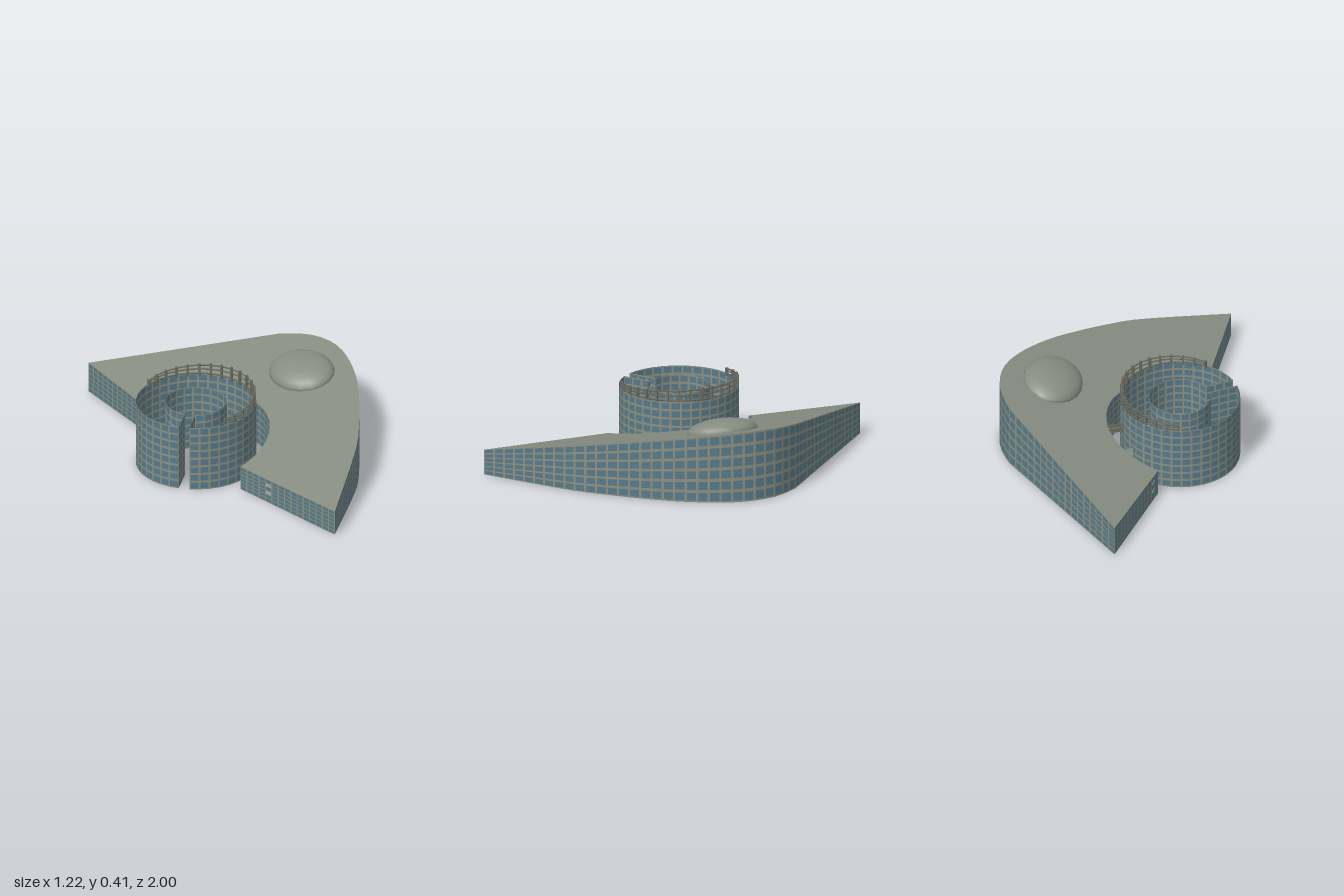
import * as THREE from 'three';

const mat = (name, color) => Object.assign(new THREE.MeshStandardMaterial({ color, side: THREE.DoubleSide }), { name });
const glass = mat('blue glass', 0x56798a);
const frame = mat('stone frame', 0x8b8f7f);
const roofGrey = mat('roof grey', 0x868d80);
const railGrey = mat('rail grey', 0x6c6e63);

// Ring centre on plan, and the slope of the wedge roof
const CX = -0.31, CZ = -0.06;
const roofHeight = (x) => 0.211 + 0.253 * x;
const ringTop = 0.345;

const polar = (r, a) => new THREE.Vector2(CX + r * Math.cos(a), CZ + r * Math.sin(a));
function arc(r, a0, a1, n) {
  return Array.from({ length: n + 1 }, (_, i) => polar(r, a0 + ((a1 - a0) * i) / n));
}

function meshFrom(name, positions, material) {
  const g = new THREE.BufferGeometry();
  g.setAttribute('position', new THREE.Float32BufferAttribute(positions, 3));
  g.computeVertexNormals();
  const m = new THREE.Mesh(g, material);
  m.name = name;
  return m;
}

// Upright wall along a plan path, cut into framed panes; rows shrink with the height.
// isOpen(t, row) leaves a pane out, t being the position along each segment.
function windowWall(name, path, height, rows, spacing, isOpen = () => false) {
  const panes = [], bars = [];
  const us = [0, 0.1, 0.9, 1], vs = [0, 0.14, 0.86, 1];
  for (let s = 0; s < path.length - 1; s++) {
    const a = path[s], b = path[s + 1];
    const cols = Math.max(1, Math.round(a.distanceTo(b) / spacing));
    const point = (t, v) => {
      const p = a.clone().lerp(b, t);
      return [p.x, height(p.x) * v, p.y];
    };
    for (let c = 0; c < cols; c++) for (let r = 0; r < rows; r++) {
      for (let i = 0; i < 3; i++) for (let j = 0; j < 3; j++) {
        const middle = i === 1 && j === 1;
        if (middle && isOpen((c + 0.5) / cols, r, cols)) continue;
        const t0 = (c + us[i]) / cols, t1 = (c + us[i + 1]) / cols;
        const v0 = (r + vs[j]) / rows, v1 = (r + vs[j + 1]) / rows;
        const A = point(t0, v0), B = point(t1, v0), C = point(t1, v1), D = point(t0, v1);
        (middle ? panes : bars).push(...A, ...B, ...C, ...A, ...C, ...D);
      }
    }
  }
  const g = new THREE.Group();
  g.name = name;
  g.add(meshFrom(name + 'Panes', panes, glass), meshFrom(name + 'Frames', bars, frame));
  return g;
}

function createWedge() {
  const wedge = new THREE.Group();
  wedge.name = 'wedgeBuilding';
  const V = (x, z) => new THREE.Vector2(x, z);
  const frontTip = V(-0.32, 1), backTip = V(-0.197, -1);
  const frontCorner = V(-0.34, 0.31), backCorner = V(-0.285, -0.43);

  // Long curved side, running from the front tip round the nose
  const curved = new THREE.SplineCurve([
    frontTip, V(0.05, 0.73), V(0.2, 0.595), V(0.4, 0.37), V(0.51, 0.21), V(0.58, 0.06),
    V(0.605, -0.06), V(0.595, -0.17), V(0.56, -0.26), V(0.5, -0.35),
  ]).getSpacedPoints(30);
  // Round courtyard cut
  const a0 = Math.atan2(backCorner.y - CZ, backCorner.x - CX);
  const a1 = Math.atan2(frontCorner.y - CZ, frontCorner.x - CX);
  const court = arc(0.37, a0, a1, 24);

  const opening = (at) => (t, row, cols) => Math.abs(t - at) < 0.5 / cols && (row === 2 || row === 4);
  wedge.add(
    windowWall('curvedWall', [...curved, backTip], roofHeight, 6, 0.055),
    windowWall('backEndWall', [backTip, court[0]], roofHeight, 6, 0.045, opening(0.88)),
    windowWall('courtyardWall', court, roofHeight, 6, 0.055),
    windowWall('frontEndWall', [court[24], frontTip], roofHeight, 6, 0.045, opening(0.32)),
  );

  // Sloping roof, with a small pointed spur over the courtyard
  const spur = [V(-0.145, -0.392), V(-0.13, -0.32), V(-0.095, -0.361)];
  const rim = court.filter((p) => p.y > -0.361 || p.x < -0.145);
  const cut = rim.findIndex((p) => p.x > -0.145);
  const outline = [...curved, backTip, ...rim.slice(0, cut), ...spur, ...rim.slice(cut)];
  const geo = new THREE.ShapeGeometry(new THREE.Shape(outline.map((p) => V(p.x, -p.y))));
  geo.rotateX(-Math.PI / 2);
  const pos = geo.attributes.position;
  for (let i = 0; i < pos.count; i++) pos.setY(i, roofHeight(pos.getX(i)));
  geo.computeVertexNormals();
  const roof = new THREE.Mesh(geo, roofGrey);
  roof.name = 'slopingRoof';
  wedge.add(roof);

  // Oval dome lying on the slope
  const dome = new THREE.Mesh(new THREE.SphereGeometry(1, 18, 6, 0, Math.PI * 2, 0, Math.PI / 2), roofGrey);
  dome.name = 'roofDome';
  dome.scale.set(0.152, 0.066, 0.185);
  dome.rotation.z = Math.atan(0.253);
  dome.position.set(0.357, roofHeight(0.357), -0.012);
  wedge.add(dome);
  return wedge;
}

// Open ring: outer and inner walls joined by two radial walls beside a narrow gap
function createRing() {
  const gap = Math.atan2(0.6, -0.8), full = Math.PI * 2;
  const outer = arc(0.302, gap + 0.09, gap + full - 0.09, 36);
  const inner = arc(0.155, gap + full - 0.17, gap + 0.17, 20);
  return windowWall('ringBuilding', [...outer, ...inner, outer[0]], () => ringTop, 8, 0.05);
}

// Railing over the half of the ring that faces the wedge, rising towards it
function createRailing() {
  const g = new THREE.Group();
  g.name = 'railing';
  const reach = Math.PI / 2 + 0.21, count = 18;
  const topAt = (x) => 0.376 + 0.108 * (x + 0.37);
  const spots = arc(0.294, -reach, reach, count);
  spots.forEach((p, i) => {
    const h = topAt(p.x) - ringTop + 0.01;
    const post = new THREE.Mesh(new THREE.BoxGeometry(0.014, h, 0.01), railGrey);
    post.name = 'railPost';
    post.position.set(p.x, ringTop - 0.01 + h / 2, p.y);
    post.rotation.y = reach - (2 * reach * i) / count;
    g.add(post);
  });
  for (const f of [0.1, 0.5, 0.85]) {
    const curve = new THREE.CatmullRomCurve3(
      spots.map((p) => new THREE.Vector3(p.x, ringTop + f * (topAt(p.x) - ringTop), p.y)));
    const rail = new THREE.Mesh(new THREE.TubeGeometry(curve, 48, 0.0045, 4), railGrey);
    rail.name = 'handRail';
    g.add(rail);
  }
  return g;
}

// Narrow footbridge between ring and wedge
function createBridge() {
  const g = new THREE.Group();
  g.name = 'footbridge';
  const angle = -0.5, mid = polar(0.336, angle);
  g.position.set(mid.x, 0.2, mid.y);
  g.rotation.y = -angle;
  const deck = new THREE.Mesh(new THREE.BoxGeometry(0.075, 0.008, 0.034), roofGrey);
  deck.name = 'bridgeDeck';
  g.add(deck);
  for (const side of [-1, 1]) {
    const rail = new THREE.Mesh(new THREE.BoxGeometry(0.075, 0.025, 0.004), railGrey);
    rail.name = 'bridgeRail';
    rail.position.set(0, 0.012, side * 0.017);
    g.add(rail);
  }
  return g;
}

export function createModel() {
  const model = new THREE.Group();
  model.name = 'officeComplex';
  model.add(createWedge(), createRing(), createRailing(), createBridge());
  return model;
}
